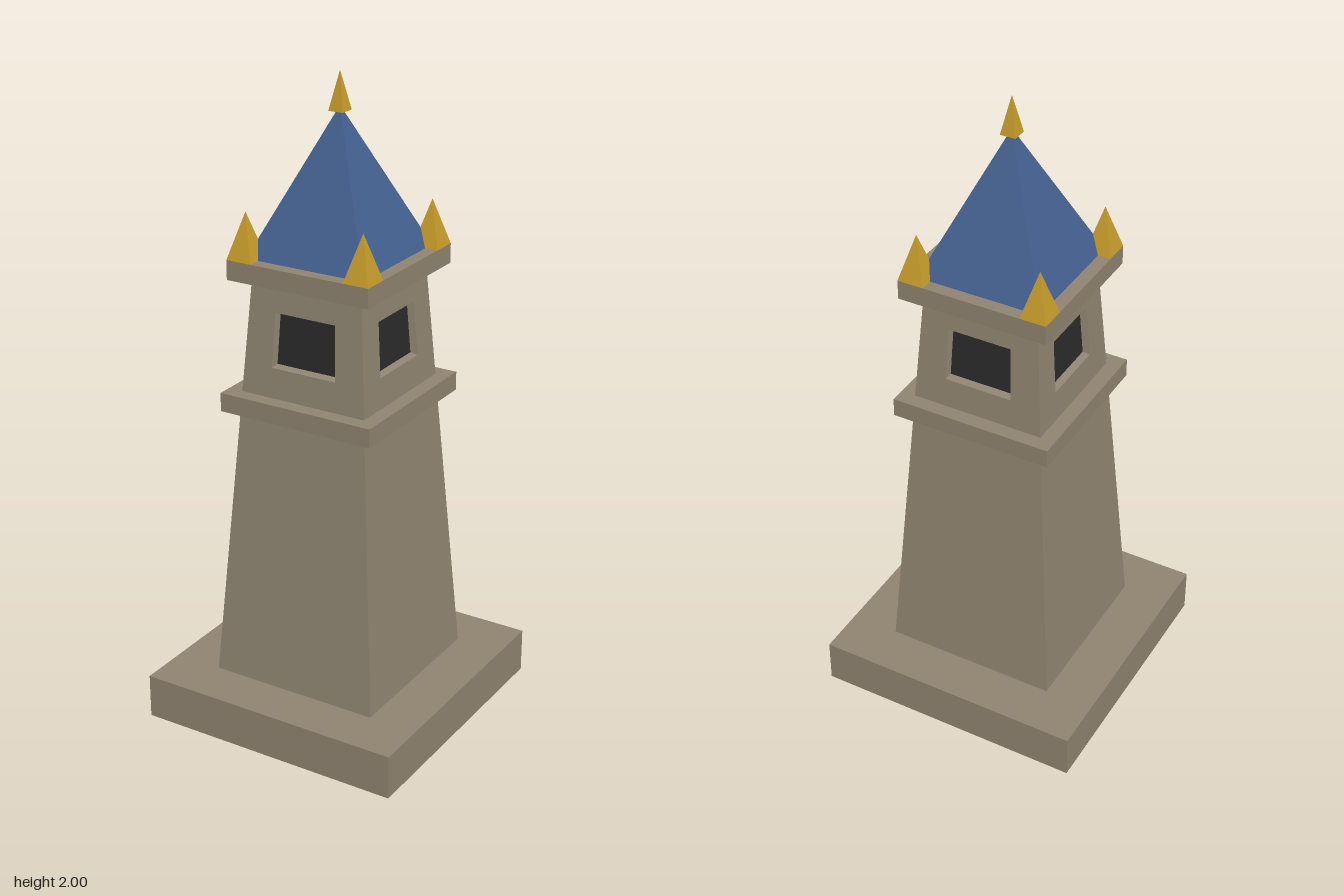
import * as THREE from 'three';

const mat = (name, color) => {
  const m = new THREE.MeshStandardMaterial({ color });
  m.name = name;
  return m;
};

// Square block or taper between two heights; half widths at bottom and top
function squareTaper(bottom, top, y0, y1) {
  const g = new THREE.CylinderGeometry(top * Math.SQRT2, bottom * Math.SQRT2, y1 - y0, 4)
    .toNonIndexed();
  g.rotateY(Math.PI / 4);
  g.translate(0, (y0 + y1) / 2, 0);
  g.computeVertexNormals();
  return g;
}

// Half width of the tapering shaft at a height
const shaftHalf = y => 0.274 - (y - 0.14) * 0.0715;

// Four corners on the front wall, counter-clockwise, set back by depth
const ring = (halfBottom, halfTop, y0, y1, depth) =>
  [[-halfBottom, y0], [halfBottom, y0], [halfTop, y1], [-halfTop, y1]]
    .map(([x, y]) => [x, y, shaftHalf(y) - depth]);

function surface(points) {
  const g = new THREE.BufferGeometry();
  g.setAttribute('position', new THREE.Float32BufferAttribute(points.flat(), 3));
  g.computeVertexNormals();
  return g;
}

// Flat strip joining an outer ring to an inner ring
function strip(outer, inner) {
  const points = [];
  for (let i = 0; i < 4; i++) {
    const j = (i + 1) % 4;
    points.push(outer[i], outer[j], inner[j], outer[i], inner[j], inner[i]);
  }
  return points;
}

export function createModel() {
  const stone = mat('stone', 0x8f8470);
  const blue = mat('roof blue', 0x43608f);
  const gold = mat('gold', 0xc49a2a);
  const dark = mat('window dark', 0x2a2a2a);

  const model = new THREE.Group();
  model.name = 'tower';
  const add = (name, geometry, material, parent = model) => {
    const mesh = new THREE.Mesh(geometry, material);
    mesh.name = name;
    parent.add(mesh);
    return mesh;
  };

  // Stone body
  add('base', squareTaper(0.427, 0.427, 0, 0.14), stone);
  add('shaft', squareTaper(shaftHalf(0.14), shaftHalf(1.03), 0.14, 1.03), stone);
  add('ledge', squareTaper(0.254, 0.254, 1.005, 1.063), stone);
  add('cornice', squareTaper(0.235, 0.235, 1.41, 1.47), stone);

  // Belfry walls, each with a recessed window
  const wall = ring(shaftHalf(1.04), shaftHalf(1.42), 1.04, 1.42, 0);
  const opening = ring(0.107, 0.1, 1.155, 1.322, 0);
  const back = ring(0.101, 0.095, 1.162, 1.316, 0.02);
  const wallGeometry = surface([...strip(wall, opening), ...strip(opening, back)]);
  const paneGeometry = surface([0, 1, 2, 0, 2, 3].map(i => back[i]));
  for (let i = 0; i < 4; i++) {
    const side = new THREE.Group();
    side.name = 'belfrySide';
    side.rotation.y = i * Math.PI / 2;
    add('wall', wallGeometry, stone, side);
    add('windowPane', paneGeometry, dark, side);
    model.add(side);
  }

  // Roof with a top finial and four corner spikes
  add('roof', squareTaper(0.195, 0, 1.47, 1.9), blue);
  add('topFinial', squareTaper(0.024, 0, 1.885, 2), gold);
  const spike = squareTaper(0.041, 0, 1.47, 1.61);
  for (const x of [-1, 1]) {
    for (const z of [-1, 1]) {
      add('cornerSpike', spike, gold).position.set(x * 0.194, 0, z * 0.194);
    }
  }
  return model;
}
